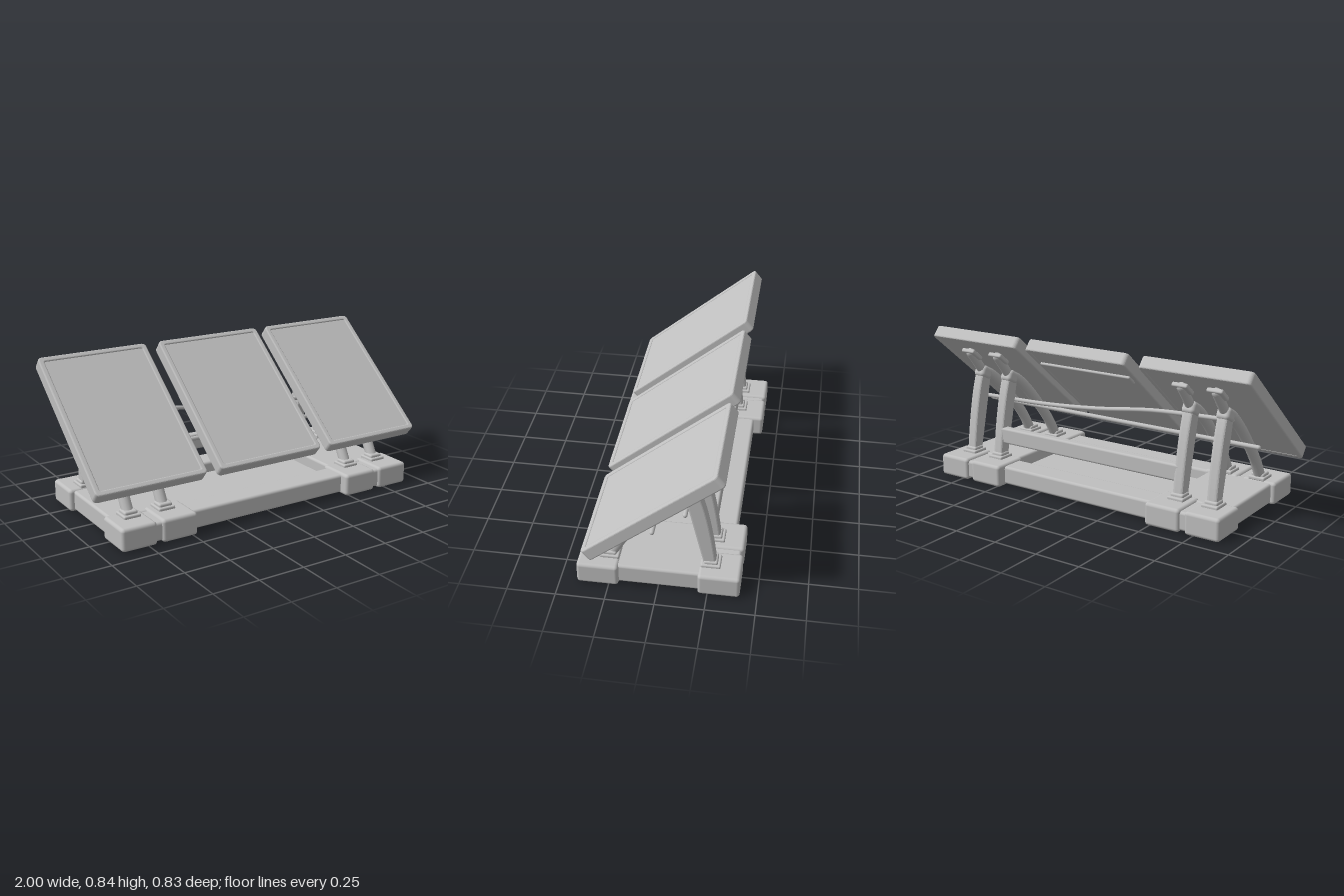
import * as THREE from 'three';
import { RoundedBoxGeometry } from 'three/addons/geometries/RoundedBoxGeometry.js';

export function createModel() {
  const model = new THREE.Group();
  const grey = new THREE.MeshStandardMaterial({ color: 0xbfbfbf });
  grey.name = 'matte grey';

  const add = (name, geometry, parent = model) => {
    const mesh = new THREE.Mesh(geometry, grey);
    mesh.name = name;
    parent.add(mesh);
    return mesh;
  };
  // Rounded box given by its min and max on each axis
  const block = (name, [x0, x1], [y0, y1], [z0, z1], r = 0.015, parent = model) => {
    const mesh = add(name, new RoundedBoxGeometry(x1 - x0, y1 - y0, z1 - z0, 3, r), parent);
    mesh.position.set((x0 + x1) / 2, (y0 + y1) / 2, (z0 + z1) / 2);
    return mesh;
  };
  // Closed-ended round bar through points
  const bar = (name, points, r) => {
    const curve = new THREE.CatmullRomCurve3(points.map(p => new THREE.Vector3(...p)));
    add(name, new THREE.TubeGeometry(curve, 24, r, 12));
    for (const p of [points[0], points[points.length - 1]]) {
      add(name + 'End', new THREE.SphereGeometry(r, 12, 8)).position.set(...p);
    }
  };

  // Base: floor, rails, side sills and split corner blocks
  block('floor', [-0.86, 0.86], [0.008, 0.05], [-0.35, 0.35], 0.01);
  for (const s of [-1, 1]) {
    const span = (a, b) => (s > 0 ? [a, b] : [-b, -a]);
    block('longRail', [-0.52, 0.52], [0.008, 0.11], span(0.22, 0.36));
    block('sideSill', span(0.5, 0.875), [0.006, 0.115], [-0.24, 0.24]);
    for (const t of [-1, 1]) {
      const z = (a, b) => (t > 0 ? [a, b] : [-b, -a]);
      block('innerCornerBlock', span(0.475, 0.675), [0, 0.122], z(0.2, 0.413), 0.018);
      block('outerCornerBlock', span(0.705, 0.9), [0, 0.122], z(0.2, 0.413), 0.018);
      block('cornerFiller', span(0.6, 0.8), [0.01, 0.11], z(0.21, 0.4));
    }
  }

  // Legs, feet and panel brackets
  for (const s of [-1, 1]) for (const d of [0.59, 0.785]) {
    const x = s * d;
    bar('frontLeg', [[x, 0.12, 0.255], [x, 0.24, 0.185], [x, 0.365, 0.085],
      [x, 0.46, 0], [x, 0.54, -0.09], [x, 0.575, -0.15]], 0.03);

    // Tapered rear leg, wider from front to back
    const shape = new THREE.Shape();
    shape.moveTo(-0.285, 0.12);
    shape.lineTo(-0.225, 0.12);
    shape.quadraticCurveTo(-0.16, 0.4, -0.125, 0.555);
    shape.lineTo(-0.195, 0.565);
    shape.quadraticCurveTo(-0.25, 0.42, -0.285, 0.12);
    const leg = new THREE.ExtrudeGeometry(shape,
      { depth: 0.03, bevelSize: 0.01, bevelThickness: 0.015, bevelOffset: -0.008, bevelSegments: 3 });
    leg.translate(0, 0, -0.015);
    leg.rotateY(-Math.PI / 2);
    add('rearLeg', leg).position.x = x;

    for (const z of [0.255, -0.258]) {
      block('footPlate', [x - 0.047, x + 0.047], [0.115, 0.137], [z - 0.05, z + 0.05], 0.008);
      block('footCollar', [x - 0.037, x + 0.037], [0.12, 0.153], [z - 0.035, z + 0.035], 0.01);
    }
    const elbow = block('elbow', [x - 0.038, x + 0.038], [0.535, 0.6], [-0.2, -0.12], 0.02);
    elbow.rotation.x = 0.5;
    bar('panelStrut', [[x, 0.57, -0.16], [x, 0.63, -0.205], [x, 0.7, -0.26]], 0.026);
    const pad = block('panelPad', [x - 0.045, x + 0.045], [0.645, 0.735], [-0.262, -0.238], 0.008);
    pad.rotation.x = -0.88;
  }

  // Cross members
  block('rearBeam', [-0.59, 0.59], [0.205, 0.295], [-0.265, -0.215], 0.012);
  bar('straightRod', [[-0.88, 0.365, 0.025], [0, 0.365, 0.025], [0.88, 0.365, 0.025]], 0.012);
  bar('curvedRod', [[-0.8, 0.53, -0.118], [-0.34, 0.508, -0.12], [0, 0.465, -0.125],
    [0.36, 0.436, -0.126], [0.8, 0.425, -0.126]], 0.012);

  // Tilted panels: raised frame around an inset face
  const tray = (w, h) => {
    const s = new THREE.Shape();
    const r = 0.015;
    s.moveTo(-w / 2 + r, -h / 2);
    for (const [cx, cy, a] of [[1, -1, -0.5], [1, 1, 0], [-1, 1, 0.5], [-1, -1, 1]]) {
      s.absarc(cx * (w / 2 - r), cy * (h / 2 - r), r, a * Math.PI, (a + 0.5) * Math.PI);
    }
    return s;
  };
  const length = 0.85;
  for (const [name, x0, x1] of [['rightPanel', -1, -0.38], ['middlePanel', -0.3, 0.337], ['leftPanel', 0.4, 1]]) {
    const w = x1 - x0;
    const panel = new THREE.Group();
    panel.name = name;
    panel.position.set((x0 + x1) / 2, 0.543, 0.01);
    panel.rotation.x = -0.88;
    model.add(panel);

    const rim = tray(w - 0.016, length - 0.016);
    rim.holes.push(tray(w - 0.044, length - 0.044));
    const frame = new THREE.ExtrudeGeometry(rim,
      { depth: 0.054, bevelSize: 0.008, bevelThickness: 0.008, bevelSegments: 3, curveSegments: 5 });
    frame.translate(0, 0, -0.027);
    add('panelFrame', frame, panel);
    block('panelFace', [-w / 2 + 0.02, w / 2 - 0.02], [-length / 2 + 0.02, length / 2 - 0.02],
      [-0.032, 0.029], 0.004, panel);
    if (name === 'middlePanel') {
      block('backRidge', [-w / 2 + 0.03, w / 2 - 0.03], [0.22, 0.29], [-0.045, -0.025], 0.008, panel);
    }
  }
  return model;
}
